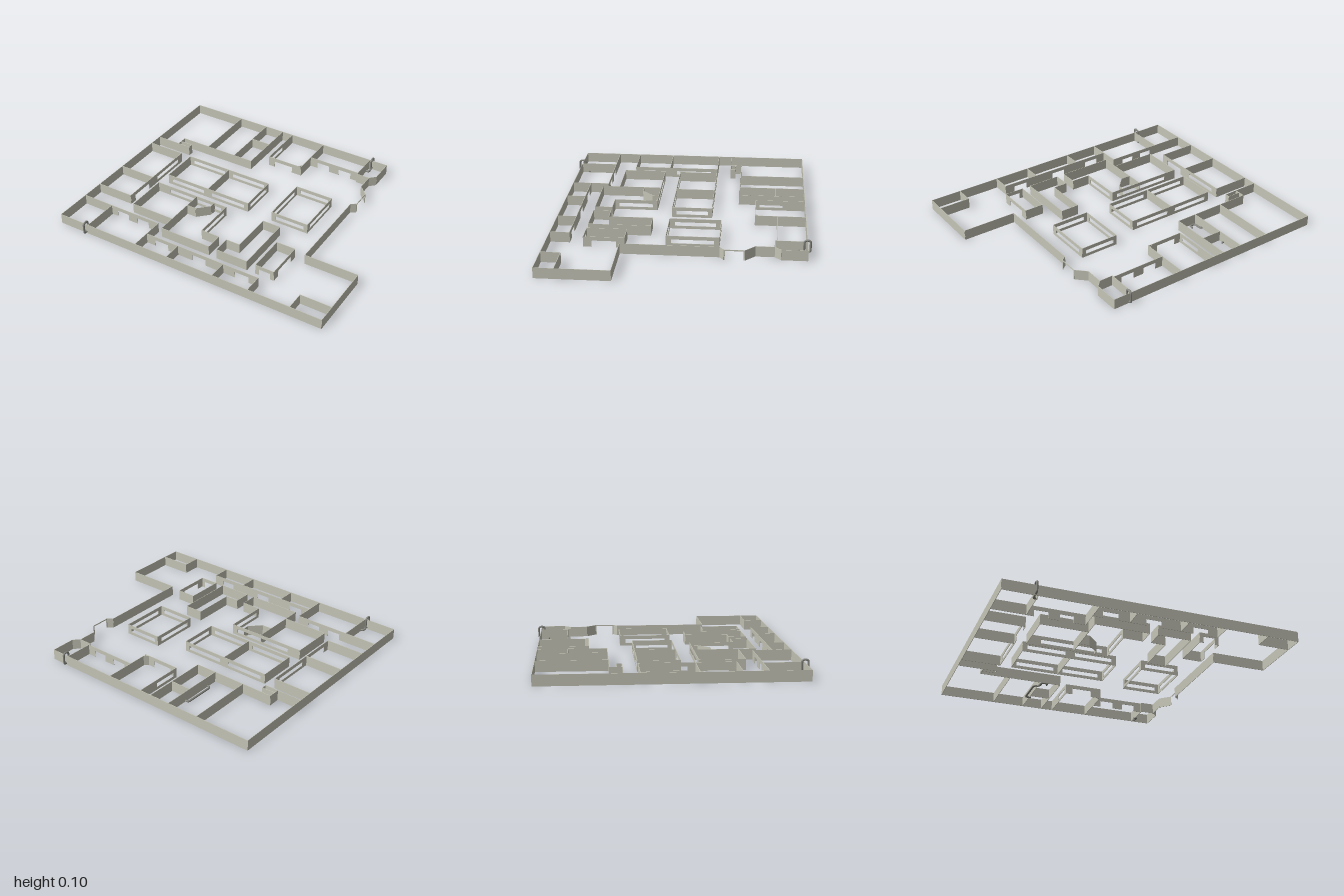
import * as THREE from 'three';

const H = 0.072, T = 0.003;
const wallMat = new THREE.MeshStandardMaterial({ color: 0xc4c4b6 });
const pipeMat = new THREE.MeshStandardMaterial({ color: 0x85857f });

// Straight wall; openings are [start, end, bottom, top], start and end as fractions of its length
function wall([x1, z1], [x2, z2], openings = []) {
  const g = new THREE.Group();
  const len = Math.hypot(x2 - x1, z2 - z1);
  const panel = (a, b, y0, y1) => {
    if (b - a < 1e-4 || y1 - y0 < 1e-4) return;
    const m = new THREE.Mesh(new THREE.BoxGeometry(b - a, y1 - y0, T), wallMat);
    m.position.set((a + b) / 2, (y0 + y1) / 2, 0);
    m.name = 'wallPanel';
    g.add(m);
  };
  let at = 0;
  for (const [s, e, y0, y1] of openings) {
    panel(at, s * len, 0, H);
    panel(s * len, e * len, 0, y0);
    panel(s * len, e * len, y1, H);
    at = e * len;
  }
  panel(at, len, 0, H);
  g.position.set(x1, 0, z1);
  g.rotation.y = -Math.atan2(z2 - z1, x2 - x1);
  return g;
}

// Run of walls through a list of [x, z] corners; cuts[i] lists the openings of segment i
function run(name, pts, cuts = {}) {
  const g = new THREE.Group();
  g.name = name;
  for (let i = 0; i < pts.length - 1; i++) g.add(wall(pts[i], pts[i + 1], cuts[i]));
  return g;
}

const rect = (x0, z0, x1, z1) => [[x0, z0], [x1, z0], [x1, z1], [x0, z1], [x0, z0]];

// Round pipe with softened bends
function pipe(name, pts) {
  const path = new THREE.CurvePath();
  const v = pts.map(p => new THREE.Vector3(...p));
  let from = v[0];
  for (let i = 1; i < v.length - 1; i++) {
    const r = Math.min(0.018, v[i].distanceTo(v[i - 1]) * 0.48, v[i].distanceTo(v[i + 1]) * 0.48);
    const a = v[i].clone().add(v[i - 1].clone().sub(v[i]).setLength(r));
    const b = v[i].clone().add(v[i + 1].clone().sub(v[i]).setLength(r));
    path.add(new THREE.LineCurve3(from, a));
    path.add(new THREE.QuadraticBezierCurve3(a, v[i], b));
    from = b;
  }
  path.add(new THREE.LineCurve3(from, v[v.length - 1]));
  const g = new THREE.Group();
  g.name = name;
  const tube = new THREE.Mesh(new THREE.TubeGeometry(path, 90, 0.007, 10), pipeMat);
  tube.name = 'pipeBody';
  g.add(tube);
  // End caps
  for (const p of [v[0], v[v.length - 1]]) {
    const cap = new THREE.Mesh(new THREE.SphereGeometry(0.007, 10, 6), pipeMat);
    cap.position.copy(p);
    cap.name = 'pipeEnd';
    g.add(cap);
  }
  return g;
}

export function createModel() {
  const model = new THREE.Group();
  model.name = 'floorPlan';
  const add = (...a) => model.add(run(...a));
  const window_ = [[0.1, 0.9, 0.02, 0.047]];
  const door = [[0.2, 0.8, 0, 0.045]];

  // Outer walls, with the stepped right side
  add('outerWall', [[-1, 0.84], [-1, -0.845], [0.63, -0.845], [0.63, -0.675], [0.59, -0.635], [0.59, -0.51],
    [0.655, -0.445], [0.655, -0.31], [0.62, -0.285], [0.62, 0.36], [1, 0.36], [1, 0.84], [-1, 0.84]],
  { 6: [[0.06, 0.94, 0, 0.064]] });

  // Back left rooms
  add('backLeftWall', [[-1, -0.3], [-0.73, -0.3], [-0.73, -0.335], [-0.825, -0.335]]);
  add('backLeftCorridorWall', [[-0.825, -0.3], [-0.825, -0.38], [-0.24, -0.38], [-0.24, -0.845]]);
  for (const x of [-0.61, -0.385]) add('backPartition', [[x, -0.845], [x, -0.38]]);
  add('closetWall', [[-0.385, -0.64], [-0.24, -0.64]]);

  // Back bay and back right rooms
  add('backBay', [[-0.155, -0.845], [-0.155, -0.5], [0.085, -0.5], [0.11, -0.525], [0.11, -0.845]],
    { 0: [[0.45, 0.92, 0.02, 0.047]], 1: door });
  add('backBayCorner', [[0.085, -0.5], [0.11, -0.5], [0.11, -0.525]]);
  add('backRightWall', [[0.11, -0.65], [0.495, -0.65]], { 0: [[0.15, 0.4, 0, 0.045], [0.6, 0.85, 0, 0.045]] });
  add('backRightCloset', [[0.495, -0.845], [0.495, -0.635], [0.59, -0.635]]);

  // Left room
  add('leftRoom', [[-1, -0.2], [-0.73, -0.2], [-0.73, 0.42], [-1, 0.42]],
    { 1: [[0.08, 0.5, 0.02, 0.047], [0.66, 0.92, 0, 0.045]] });
  add('leftRoomPartition', [[-1, 0.16], [-0.73, 0.16]]);

  // Central glazed rooms
  const glazed = { 0: window_, 1: window_, 2: window_, 3: window_ };
  for (const [x0, x1] of [[-0.65, -0.315], [-0.315, 0.015]])
    add('centralRoom', [[x1, 0.075], [x0, 0.075], [x0, -0.2], [x1, -0.2]], { 0: window_, 2: window_ });
  add('centralRoomEnd', [[0.015, -0.2], [0.015, 0.075]], { 0: window_ });
  add('rightGlazedRoom', rect(0.205, -0.275, 0.48, 0.075), glazed);

  // Central front rooms
  add('frontCentreRoom', [[-0.33, 0.49], [-0.655, 0.49], [-0.655, 0.19], [-0.09, 0.19], [-0.09, 0.49], [0.045, 0.49],
    [0.045, 0.61], [-0.33, 0.61], [-0.33, 0.19]], { 2: [[0.17, 0.93, 0.02, 0.047]], 3: window_ });
  add('cornerCabinet', [[-0.33, 0.31], [-0.26, 0.31], [-0.185, 0.235], [-0.185, 0.19]]);
  add('frontRightRoom', [[0.105, 0.49], [0.205, 0.49], [0.205, 0.19], [0.335, 0.19], [0.335, 0.61], [0.105, 0.61],
    [0.105, 0.49]]);
  add('smallRoom', rect(0.4, 0.34, 0.535, 0.61), { 1: door, 2: door });

  // Front rooms
  add('frontLeftRoom', [[-1, 0.58], [-0.38, 0.58], [-0.38, 0.84]], { 0: [[0.45, 0.6, 0, 0.045], [0.72, 0.87, 0, 0.045]] });
  add('frontLeftPartition', [[-0.77, 0.58], [-0.77, 0.84]]);
  add('frontRooms', [[-0.38, 0.71], [0.48, 0.71], [0.48, 0.84]],
    { 0: [[0.08, 0.2, 0, 0.045], [0.42, 0.54, 0, 0.045], [0.8, 0.92, 0, 0.045]] });
  for (const x of [-0.13, 0.22]) add('frontPartition', [[x, 0.71], [x, 0.84]]);
  add('frontRightCorner', [[0.78, 0.84], [0.78, 0.71], [1, 0.71]]);

  // Pipes looping over the front and back walls
  const loop = (x, s, dx) => [[x, 0.012, s * 0.842], [x, 0.012, s * 0.863], [x, 0.09, s * 0.863],
    [x, 0.09, s * 0.822], [x, 0.008, s * 0.822], [x, 0.008, s * 0.79], [x + dx, 0.008, s * 0.79]];
  model.add(pipe('frontPipe', loop(-0.787, 1, 0.02)));
  model.add(pipe('backPipe', loop(0.517, -1, -0.02)));

  // Pipe lying along the floor
  const y = 0.007;
  model.add(pipe('floorPipe', [[-0.375, y, -0.68], [-0.41, y, -0.68], [-0.41, y, -0.465], [-0.37, y, -0.455],
    [-0.37, y, -0.395], [-0.33, y, -0.395], [-0.328, y, -0.42]]));
  return model;
}
